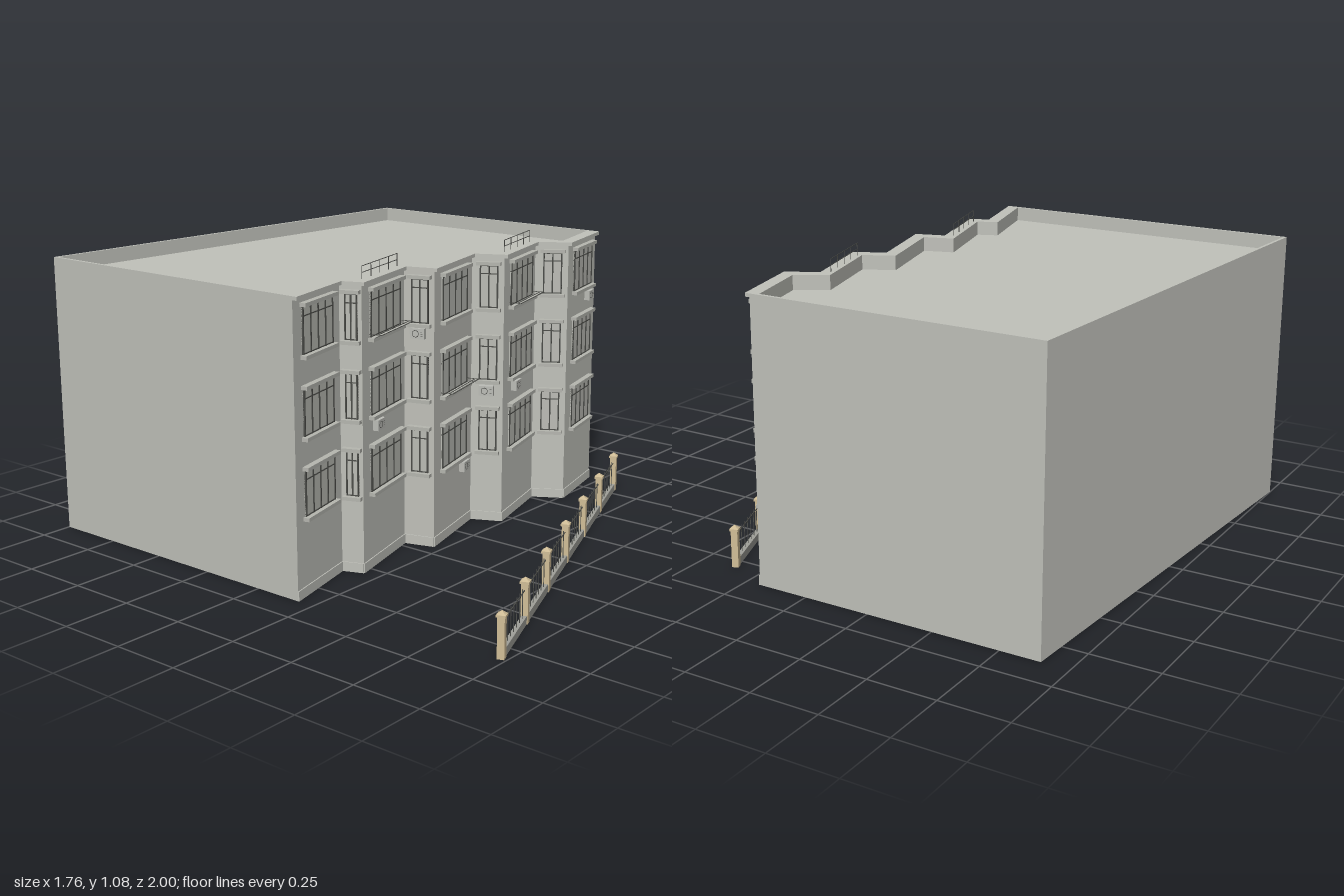
import * as THREE from 'three';

const mat = (name, color) => {
  const m = new THREE.MeshStandardMaterial({ color });
  m.name = name;
  return m;
};

export function createModel() {
  const M = {
    wall: mat('concrete', 0xc1c2bb),
    trim: mat('trim', 0xb6b7b0),
    glass: mat('glass', 0xbcbdb6),
    dark: mat('darkMetal', 0x4c4d49),
    unit: mat('unitGrey', 0xbdbeb8),
    post: mat('sandstone', 0xd2bf98),
    base: mat('fenceConcrete', 0xa0a099),
  };
  const model = new THREE.Group();
  model.name = 'apartmentBlock';

  const box = (parent, name, m, w, h, d, x, y, z) => {
    const mesh = new THREE.Mesh(new THREE.BoxGeometry(w, h, d), m);
    mesh.name = name;
    mesh.position.set(x, y, z);
    parent.add(mesh);
    return mesh;
  };

  // Sawtooth front line as [x, z]; facades and returns alternate
  const front = [
    [-0.882, 0.185], [-0.576, 0.11], [-0.547, 0.185], [-0.22, 0.1], [-0.187, 0.21],
    [0.145, 0.125], [0.197, 0.235], [0.515, 0.152], [0.58, 0.262], [0.877, 0.192],
  ];

  // Front line moved outward by d, with mitred corners
  const offsetFront = (d) => {
    const normal = (i) => {
      const [a, b] = [front[i], front[i + 1]];
      const l = Math.hypot(b[0] - a[0], b[1] - a[1]);
      return [-(b[1] - a[1]) / l, (b[0] - a[0]) / l];
    };
    return front.map(([x, z], i) => {
      if (i === 0) return [x, z + d / normal(0)[1]];
      if (i === front.length - 1) return [x, z + d / normal(i - 1)[1]];
      const p = normal(i - 1), q = normal(i);
      const k = d / (1 + p[0] * q[0] + p[1] * q[1]);
      return [x + (p[0] + q[0]) * k, z + (p[1] + q[1]) * k];
    });
  };

  // Closed outline: front line plus back corners, sides moved by s
  const outline = (d, s) => {
    const pts = offsetFront(d);
    pts[0][0] -= s;
    pts[pts.length - 1][0] += s;
    pts.push([0.877 + s, -0.899 - s], [-0.882 - s, -0.999 - s]);
    return pts.map(([x, z]) => new THREE.Vector2(x, -z));
  };
  const slab = (name, m, outer, inner, y0, y1) => {
    const shape = new THREE.Shape(outer);
    if (inner) shape.holes.push(new THREE.Path(inner));
    const g = new THREE.ExtrudeGeometry(shape, { depth: y1 - y0, bevelEnabled: false });
    g.rotateX(-Math.PI / 2);
    const mesh = new THREE.Mesh(g, m);
    mesh.name = name;
    mesh.position.y = y0;
    model.add(mesh);
  };

  // Body, parapet and overhanging cornice
  slab('body', M.wall, outline(0, 0), null, 0, 0.98);
  slab('parapet', M.wall, outline(0, 0), outline(-0.03, -0.012), 0.98, 1.02);
  slab('cornice', M.wall, outline(0.018, 0), outline(-0.03, -0.012), 1.02, 1.033);

  // Local frame on a wall: x along it, z outward
  const wallFrame = (i, name) => {
    const [a, b] = [front[i], front[i + 1]];
    const g = new THREE.Group();
    g.name = name;
    g.position.set(a[0], 0, a[1]);
    g.rotation.y = Math.atan2(a[1] - b[1], b[0] - a[0]);
    model.add(g);
    return { g, length: Math.hypot(b[0] - a[0], b[1] - a[1]), cos: Math.cos(g.rotation.y), x0: a[0] };
  };

  // Window with frame, mullions, transom, hood and sill
  const addWindow = (parent, u0, u1, y0, panes) => {
    const g = new THREE.Group();
    g.name = 'window';
    parent.add(g);
    const w = u1 - u0, c = (u0 + u1) / 2, h = 0.16, t = 0.005;
    box(g, 'glass', M.glass, w, h, 0.004, c, y0 + h / 2, 0.002);
    for (let k = 0; k <= panes; k++) {
      const x = u0 + t / 2 + ((w - t) * k) / panes;
      box(g, 'mullion', M.dark, t, h, 0.007, x, y0 + h / 2, 0.0035);
    }
    for (const y of [y0 + t / 2, y0 + 0.128, y0 + h - t / 2])
      box(g, 'frameBar', M.dark, w, t * 0.7, 0.007, c, y, 0.0035);
    box(g, 'hood', M.trim, w + 0.022, 0.013, 0.022, c, y0 + h + 0.007, 0.011);
    box(g, 'sill', M.trim, w + 0.022, 0.013, 0.022, c, y0 - 0.007, 0.011);
  };

  // Air conditioner with grille ring and louvres
  const addUnit = (parent, u, y) => {
    const g = new THREE.Group();
    g.name = 'airConditioner';
    g.position.set(u, y, 0);
    parent.add(g);
    box(g, 'casing', M.unit, 0.054, 0.038, 0.022, 0, 0, 0.011);
    const ring = new THREE.Mesh(new THREE.TorusGeometry(0.012, 0.001, 4, 16), M.dark);
    ring.name = 'fanRing';
    ring.position.set(-0.006, 0, 0.0222);
    g.add(ring);
    for (const k of [-1, 0, 1]) box(g, 'louvre', M.dark, 0.008, 0.001, 0.002, 0.018, k * 0.007, 0.0215);
  };

  // Drying rack hung below a window
  const addRack = (parent, u0, u1, y) => {
    const g = new THREE.Group();
    g.name = 'dryingRack';
    parent.add(g);
    for (const z of [0.03, 0.045])
      box(g, 'rackRail', M.dark, u1 - u0, 0.002, 0.002, (u0 + u1) / 2, y, z);
    for (const u of [u0, u1]) {
      box(g, 'rackArm', M.dark, 0.002, 0.002, 0.046, u, y, 0.023);
      const brace = box(g, 'rackBrace', M.dark, 0.002, 0.002, 0.046, u, y - 0.011, 0.022);
      brace.rotation.x = -0.5;
    }
  };

  const floors = [0.28, 0.555, 0.83];

  // Main facades: window x range, unit and rack places
  const facades = [
    { win: [-0.827, -0.628] },
    { win: [-0.49, -0.26], unit: [-0.445, 0.515], rack: 0.84 },
    { win: [-0.125, 0.093], unit: [0.062, 0.24], rack: 0.565 },
    { win: [0.255, 0.476], unit: [0.305, 0.515], rack: 0.84 },
    { win: [0.637, 0.83], unit: [0.795, 0.79] },
  ];
  facades.forEach((f, i) => {
    const { g, length, cos, x0 } = wallFrame(i * 2, 'facade');
    const u = (x) => (x - x0) / cos;
    const [a, b] = f.win.map(u);
    floors.forEach((y) => addWindow(g, a, b, y, 4));
    if (f.unit) addUnit(g, u(f.unit[0]), f.unit[1]);
    if (f.rack) addRack(g, a, b + 0.02, f.rack);
    box(g, 'plinth', M.wall, length, 0.035, 0.004, length / 2, 0.0175, 0.002);

    // Roof railing above the second and fourth facades
    if (i % 2 === 1) {
      const r = new THREE.Group();
      r.name = 'roofRailing';
      g.add(r);
      const r0 = a - 0.025, r1 = b + 0.015, n = 4;
      for (const y of [1.056, 1.078])
        box(r, 'railingBar', M.dark, r1 - r0, 0.002, 0.002, (r0 + r1) / 2, y, -0.015);
      for (let k = 0; k <= n; k++)
        box(r, 'railingPost', M.dark, 0.002, 0.046, 0.002, r0 + ((r1 - r0) * k) / n, 1.056, -0.015);
    }
  });

  // Narrow returns between the facades
  for (let i = 1; i < front.length - 1; i += 2) {
    const { g, length } = wallFrame(i, 'return');
    floors.forEach((y) => addWindow(g, length * 0.25, length * 0.82, y, 2));
    box(g, 'plinth', M.wall, length, 0.035, 0.004, length / 2, 0.0175, 0.002);
    if (i === 3) addUnit(g, length * 0.5, 0.795);
    if (i === 5) addUnit(g, length * 0.5, 0.515);
  }

  // Fence running diagonally in front
  const fence = new THREE.Group();
  fence.name = 'fence';
  const A = [-0.826, 0.978], B = [0.794, 0.362];
  const len = Math.hypot(B[0] - A[0], B[1] - A[1]), bays = 6, bay = len / bays;
  fence.position.set(A[0], 0, A[1]);
  fence.rotation.y = Math.atan2(A[1] - B[1], B[0] - A[0]);
  model.add(fence);
  box(fence, 'fenceBase', M.base, len, 0.028, 0.018, len / 2, 0.014, 0);
  box(fence, 'fenceRail', M.dark, len, 0.003, 0.003, len / 2, 0.115, 0);
  for (let k = 0; k <= bays; k++) {
    box(fence, 'fencePost', M.post, 0.024, 0.137, 0.024, k * bay, 0.0685, 0);
    box(fence, 'postCap', M.post, 0.031, 0.008, 0.031, k * bay, 0.141, 0);
    const tip = new THREE.Mesh(new THREE.ConeGeometry(0.02, 0.013, 4).rotateY(Math.PI / 4), M.post);
    tip.name = 'postTip';
    tip.position.set(k * bay, 0.1515, 0);
    fence.add(tip);
    if (k === bays) break;
    for (let j = 1; j <= 7; j++)
      box(fence, 'fenceBar', M.dark, 0.0025, 0.1, 0.0025, (k + j / 8) * bay, 0.078, 0);
  }
  return model;
}
